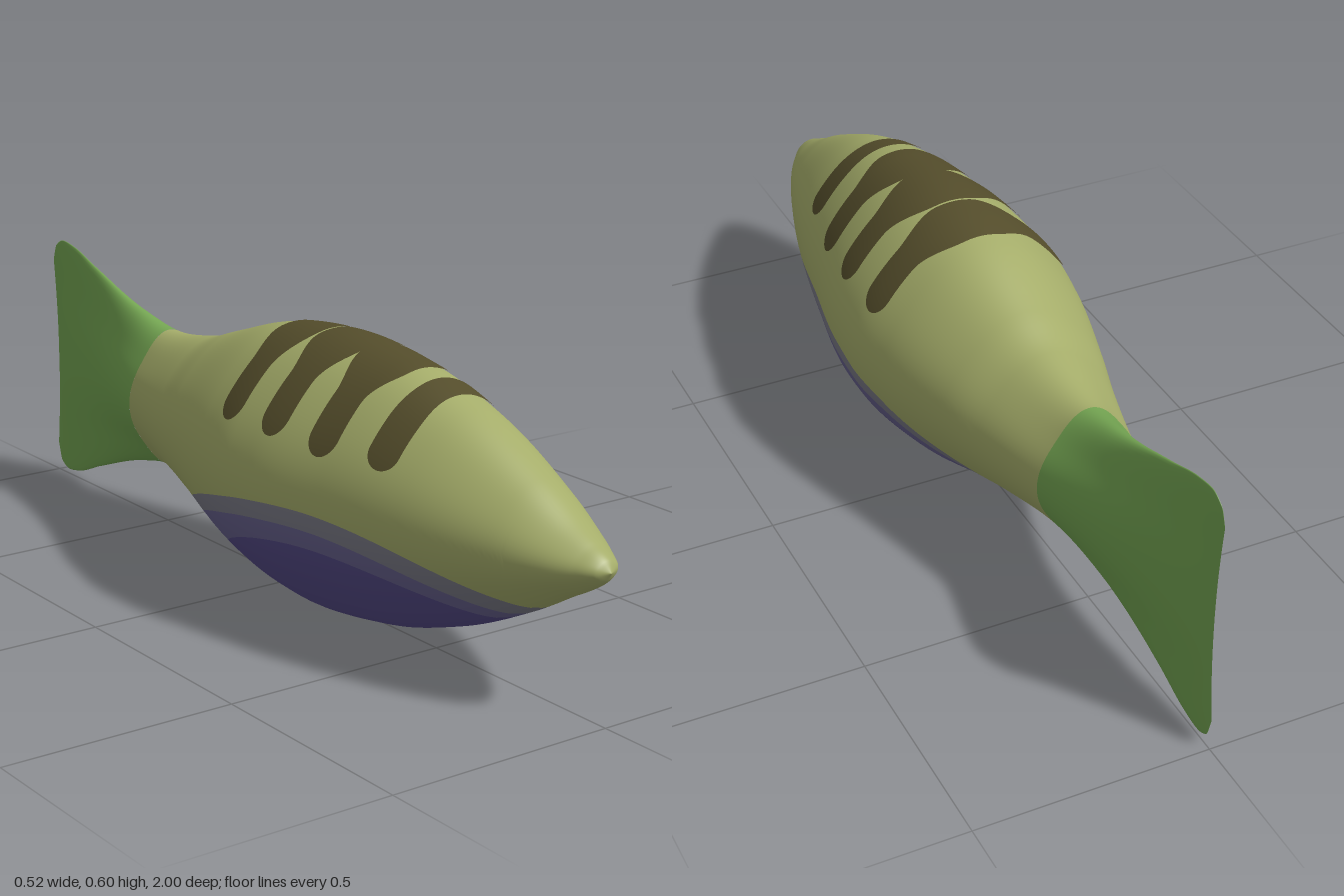
import * as THREE from 'three';

// Body stations along z: [z, top y, bottom y, half width]
const STATIONS = [
  [-1, 0.535, 0.07, 0], [-0.985, 0.573, 0.026, 0.008], [-0.95, 0.59, 0.012, 0.015],
  [-0.9, 0.583, 0.02, 0.022], [-0.8, 0.55, 0.057, 0.037], [-0.6, 0.487, 0.122, 0.083],
  [-0.46, 0.463, 0.146, 0.117], [-0.3, 0.485, 0.122, 0.16], [-0.2, 0.518, 0.095, 0.19],
  [0, 0.578, 0.025, 0.243], [0.12, 0.592, 0.006, 0.261], [0.2, 0.595, 0, 0.259],
  [0.4, 0.577, 0.022, 0.228], [0.6, 0.525, 0.08, 0.187], [0.8, 0.433, 0.172, 0.125],
  [0.9, 0.374, 0.23, 0.083], [0.95, 0.348, 0.258, 0.055], [0.985, 0.328, 0.283, 0.03],
  [1, 0.305, 0.305, 0],
];
const HALF_PI = Math.PI / 2;
const FIN_START = -0.48;

// Smooth, overshoot-free interpolation of one station column
function sample(z, k) {
  const n = STATIONS.length;
  const secant = (i) => (STATIONS[i + 1][k] - STATIONS[i][k]) / (STATIONS[i + 1][0] - STATIONS[i][0]);
  const slope = (i) => {
    if (i === 0) return secant(0);
    if (i === n - 1) return secant(n - 2);
    const a = secant(i - 1), b = secant(i);
    return a * b <= 0 ? 0 : (2 * a * b) / (a + b);
  };
  let i = 0;
  while (i < n - 2 && z > STATIONS[i + 1][0]) i++;
  const h = STATIONS[i + 1][0] - STATIONS[i][0];
  const t = (z - STATIONS[i][0]) / h, t2 = t * t, t3 = t2 * t;
  return (2 * t3 - 3 * t2 + 1) * STATIONS[i][k] + (t3 - 2 * t2 + t) * h * slope(i)
    + (3 * t2 - 2 * t3) * STATIONS[i + 1][k] + (t3 - t2) * h * slope(i + 1);
}

// Point on the left half of the skin; t runs from the keel to the spine
function skin(z, t) {
  const top = sample(z, 1), bottom = sample(z, 2), w = sample(z, 3);
  const pinch = THREE.MathUtils.lerp(0.15, 0.06, THREE.MathUtils.smoothstep(z, -0.8, -0.2));
  const r = 1 - pinch * Math.sin(2 * t) ** 2;
  const s = Math.sin(t) * r;
  // Trailing edge of the fin is slightly hollow
  const hollow = 0.014 * (1 - s * s) * THREE.MathUtils.smoothstep(-z, 0.85, 1);
  return new THREE.Vector3(w * Math.cos(t) * r, (top + bottom) / 2 + ((top - bottom) / 2) * s, z + hollow);
}

function skinNormal(z, t) {
  const e = 0.002;
  const zc = THREE.MathUtils.clamp(z, -0.995, 0.992);
  const dz = skin(zc + e, t).sub(skin(zc - e, t));
  const dt = skin(zc, t + e).sub(skin(zc, t - e));
  return dt.cross(dz).normalize();
}

// Skin angle at which a section reaches height y
function angleAt(z, y) {
  let lo = -HALF_PI, hi = HALF_PI;
  if (y <= sample(z, 2)) return lo;
  if (y >= sample(z, 1)) return hi;
  for (let i = 0; i < 30; i++) {
    const mid = (lo + hi) / 2;
    if (skin(z, mid).y < y) lo = mid; else hi = mid;
  }
  return (lo + hi) / 2;
}

// Mirrored patch of skin; at(i, j) gives [z, t], i towards +z, j towards the spine
function patch(rows, cols, at, lift = 0) {
  const pos = [], nor = [], idx = [];
  for (const side of [1, -1]) {
    const base = pos.length / 3;
    for (let i = 0; i <= rows; i++) {
      for (let j = 0; j <= cols; j++) {
        const [z, t] = at(i / rows, j / cols);
        const n = skinNormal(z, t);
        const p = skin(z, t).addScaledVector(n, lift);
        pos.push(side * p.x, p.y, p.z);
        nor.push(side * n.x, n.y, n.z);
      }
    }
    for (let i = 0; i < rows; i++) {
      for (let j = 0; j < cols; j++) {
        const a = base + i * (cols + 1) + j, b = a + 1, c = a + cols + 1, d = c + 1;
        if (side > 0) idx.push(a, b, c, b, d, c);
        else idx.push(a, c, b, b, c, d);
      }
    }
  }
  const g = new THREE.BufferGeometry();
  g.setAttribute('position', new THREE.Float32BufferAttribute(pos, 3));
  g.setAttribute('normal', new THREE.Float32BufferAttribute(nor, 3));
  g.setIndex(idx);
  return g;
}

function material(name, color) {
  const m = new THREE.MeshStandardMaterial({ color });
  m.name = name;
  return m;
}

export function createModel() {
  const group = new THREE.Group();
  group.name = 'fish';
  const olive = material('olive', 0xa5ad6a);
  const green = material('finGreen', 0x74a552);
  const brown = material('stripeBrown', 0x544d2b);
  const greyLilac = material('greyLilac', 0x7b7b87);
  const lilac = material('lilac', 0x68628f);
  const purple = material('purple', 0x554b88);
  const add = (name, geometry, mat) => {
    const mesh = new THREE.Mesh(geometry, mat);
    mesh.name = name;
    group.add(mesh);
  };

  // Body bands share their rings, so their edges meet exactly
  const keel = () => -HALF_PI;
  const spine = () => HALF_PI;
  const arch = (peak, mid, front, back) => (z) =>
    angleAt(z, peak - (z > mid ? front : back) * (z - mid) ** 2);
  const inner = arch(0.215, 0.35, 0.5, 0.75);
  const middle = arch(0.256, 0.34, 0.5, 0.48);
  const outer = arch(0.295, 0.35, 0.46, 0.45);
  const bodyZ = (u) => FIN_START + (1 - FIN_START) * Math.sin(u * HALF_PI);
  const band = (lo, hi, cols) => patch(130, cols, (u, v) => {
    const z = bodyZ(u);
    return [z, THREE.MathUtils.lerp(lo(z), hi(z), v)];
  });
  add('body', band(outer, spine, 30), olive);
  add('bellyOuterRim', band(middle, outer, 3), greyLilac);
  add('bellyInnerRim', band(inner, middle, 3), lilac);
  add('belly', band(keel, inner, 16), purple);

  // Tail fin
  add('tailFin', patch(60, 40, (u, v) => [
    -1 + (FIN_START + 1) * (1 - Math.cos(u * HALF_PI)),
    -HALF_PI + Math.PI * v,
  ]), green);

  // Back stripes: rounded lower ends, the rear three fan out and join along the spine
  const stripes = [
    { z: 0.085, y: 0.42, fan: 0.03 }, { z: 0.23, y: 0.42, fan: 0.036 },
    { z: 0.372, y: 0.408, fan: 0.034 }, { z: 0.522, y: 0.412, fan: -0.004 },
  ];
  stripes.forEach(({ z, y, fan }, i) => {
    const start = angleAt(z, y);
    add('stripe' + (i + 1), patch(10, 40, (u, v) => {
      const q = v * v * (2 - v);
      const t = THREE.MathUtils.lerp(start, HALF_PI, q);
      const round = Math.sqrt(1 - (1 - Math.min(1, q / 0.15)) ** 2);
      const half = 0.037 * round + fan * THREE.MathUtils.smoothstep(t, 0.95, 1.42);
      return [z + half * (2 * u - 1), t];
    }, 0.003), brown);
  });
  return group;
}
